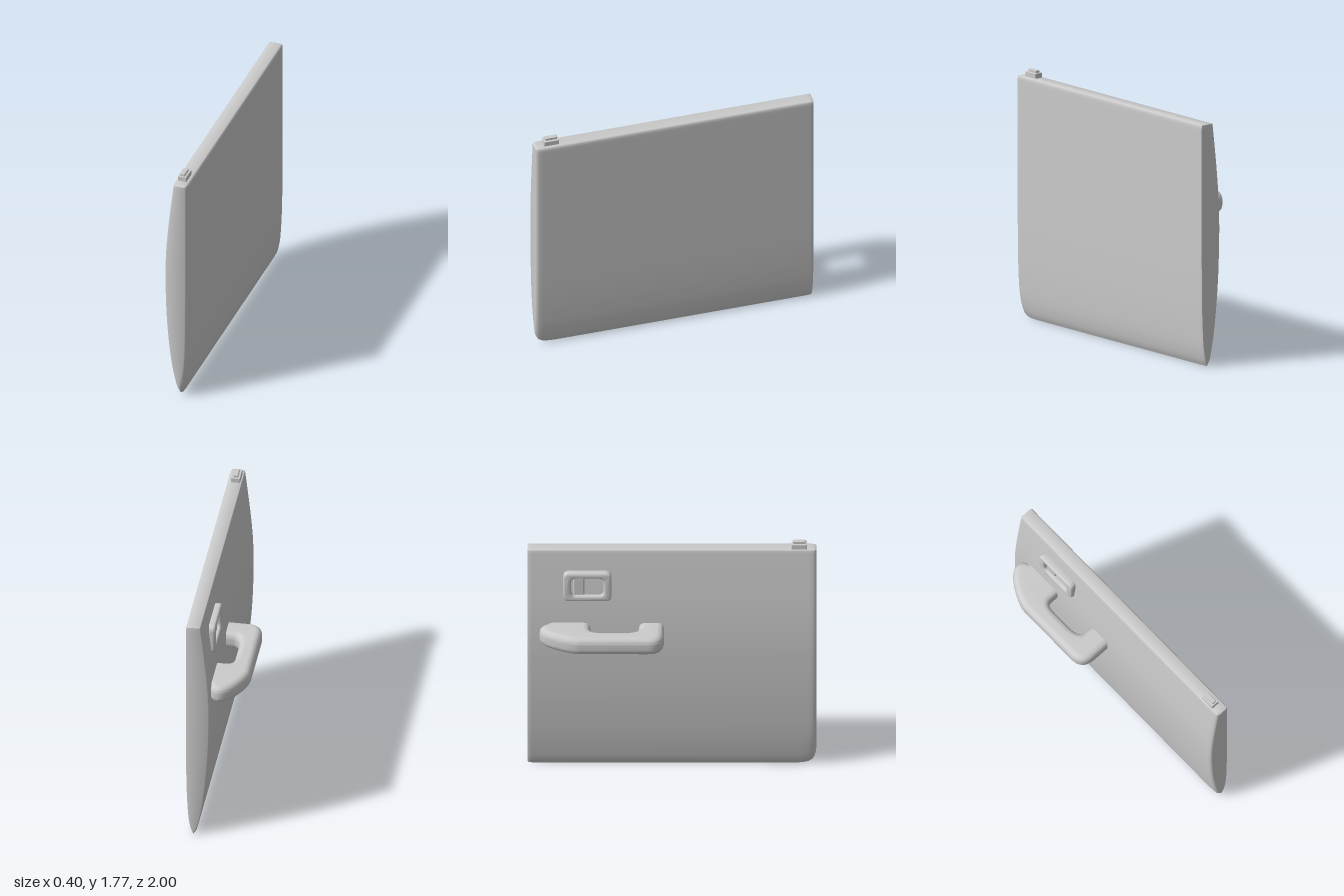
import * as THREE from 'three';
import { toCreasedNormals } from 'three/addons/utils/BufferGeometryUtils.js';
import { RoundedBoxGeometry } from 'three/addons/geometries/RoundedBoxGeometry.js';

const material = new THREE.MeshStandardMaterial({ color: 0xcccccc, side: THREE.DoubleSide });

function mesh(name, geometry, x = 0, y = 0, z = 0) {
  const m = new THREE.Mesh(geometry, material);
  m.name = name;
  m.position.set(x, y, z);
  return m;
}

// Curved door slab: one blade-like section swept along z
function doorGeometry() {
  // inner x, height, outer x
  const curve = new THREE.CatmullRomCurve3([
    [0.145, 0.008, 0.15], [0.125, 0.045, 0.165], [0.105, 0.13, 0.181], [0.085, 0.25, 0.19],
    [0.067, 0.4, 0.196], [0.05, 0.6, 0.199], [0.041, 0.8, 0.2], [0.038, 1.0, 0.2],
    [0.045, 1.2, 0.2], [0.062, 1.4, 0.2], [0.084, 1.6, 0.2], [0.096, 1.7, 0.2],
  ].map((p) => new THREE.Vector3(...p)));
  const levels = curve.getPoints(44);
  levels.push(new THREE.Vector3(0.098, 1.717, 0.199), new THREE.Vector3(0.101, 1.725, 0.195),
    new THREE.Vector3(0.107, 1.728, 0.189));
  const n = levels.length, ring = 2 * n;

  // z, edge inset, lift of the lower corner
  const stations = [
    [-1, 0.006, 0.02], [-0.998, 0.002, 0.01], [-0.992, 0, 0.003], [-0.97, 0, 0], [0.86, 0, 0],
    [0.91, 0, 0.004], [0.945, 0, 0.013], [0.97, 0, 0.03], [0.985, 0.002, 0.055],
    [0.995, 0.007, 0.09], [1, 0.015, 0.14],
  ];
  const pos = [], index = [];
  for (const [z, inset, lift] of stations) {
    const rim = levels.map((p) => {
      const d = Math.min(inset, (p.z - p.x) * 0.4);
      const y = p.y + lift * Math.max(0, 1 - p.y / 0.55) ** 2;
      return [p.x + d, Math.min(y, 1.728 - inset * 0.5), p.z - d];
    });
    for (const [l, y] of rim) pos.push(l, y, z);
    for (const [, y, r] of rim.reverse()) pos.push(r, y, z);
  }
  for (let k = 0; k < stations.length - 1; k++) {
    for (let i = 0; i < ring; i++) {
      const j = (i + 1) % ring;
      const a = k * ring + i, b = k * ring + j, c = a + ring, d = b + ring;
      index.push(a, c, b, b, c, d);
    }
  }
  // end caps
  const last = (stations.length - 1) * ring;
  for (let i = 0; i < n - 1; i++) {
    const l = i, l2 = i + 1, r = ring - 1 - i, r2 = ring - 2 - i;
    index.push(l, r2, r, l, l2, r2);
    index.push(last + l, last + r, last + r2, last + l, last + r2, last + l2);
  }
  const g = new THREE.BufferGeometry();
  g.setAttribute('position', new THREE.Float32BufferAttribute(pos, 3));
  g.setIndex(index);
  return toCreasedNormals(g, 0.7);
}

// Pull handle: plan outline in x and z, extruded upwards with a soft bevel
function handleGeometry() {
  const s = new THREE.Shape();
  s.moveTo(0.12, 0.85);
  s.lineTo(0.05, 0.87);
  s.bezierCurveTo(0.02, 0.93, -0.04, 0.93, -0.09, 0.875);
  s.bezierCurveTo(-0.14, 0.82, -0.2, 0.7, -0.2, 0.64);
  s.lineTo(-0.2, 0.17);
  s.bezierCurveTo(-0.2, 0.09, -0.16, 0.055, -0.08, 0.055);
  s.lineTo(0.12, 0.055);
  s.lineTo(0.12, 0.23);
  s.lineTo(-0.01, 0.23);
  s.bezierCurveTo(-0.045, 0.23, -0.065, 0.27, -0.065, 0.33);
  s.lineTo(-0.065, 0.48);
  s.bezierCurveTo(-0.065, 0.54, -0.05, 0.565, -0.01, 0.565);
  s.lineTo(0.12, 0.565);
  const bevel = 0.045;
  const g = new THREE.ExtrudeGeometry(s, {
    depth: 0.13 - 2 * bevel, bevelThickness: bevel, bevelSize: bevel, bevelOffset: -bevel,
    bevelSegments: 7, curveSegments: 14,
  });
  g.rotateX(-Math.PI / 2);
  return toCreasedNormals(g, 0.8);
}

function roundedRect(path, w, h, r) {
  const x = w / 2, y = h / 2;
  path.moveTo(-x + r, -y);
  path.lineTo(x - r, -y);
  path.quadraticCurveTo(x, -y, x, -y + r);
  path.lineTo(x, y - r);
  path.quadraticCurveTo(x, y, x - r, y);
  path.lineTo(-x + r, y);
  path.quadraticCurveTo(-x, y, -x, y - r);
  path.lineTo(-x, -y + r);
  path.quadraticCurveTo(-x, -y, -x + r, -y);
  return path;
}

// Rounded bezel around the latch opening, facing -x
function bezelGeometry() {
  const s = roundedRect(new THREE.Shape(), 0.335, 0.225, 0.045);
  s.holes.push(roundedRect(new THREE.Path(), 0.225, 0.135, 0.035));
  const g = new THREE.ExtrudeGeometry(s, {
    depth: 0.03, bevelThickness: 0.016, bevelSize: 0.016, bevelOffset: -0.016,
    bevelSegments: 5, curveSegments: 8,
  });
  g.rotateY(-Math.PI / 2);
  return toCreasedNormals(g, 0.8);
}

export function createModel() {
  const door = new THREE.Group();
  door.name = 'door';
  door.add(mesh('doorPanel', doorGeometry()));
  door.add(mesh('pullHandle', handleGeometry(), 0, 1.095, 0));

  // Inside latch
  const latch = new THREE.Group();
  latch.name = 'latch';
  latch.add(mesh('latchBezel', bezelGeometry(), 0.08, 1.463, -0.585));
  latch.add(mesh('latchLever', new RoundedBoxGeometry(0.04, 0.14, 0.08, 4, 0.012), 0.073, 1.463, -0.645));
  door.add(latch);

  // Lock button on the top edge
  const lock = new THREE.Group();
  lock.name = 'lockButton';
  lock.add(mesh('lockBase', new RoundedBoxGeometry(0.064, 0.045, 0.108, 2, 0.004), 0.143, 1.741, 0.88));
  lock.add(mesh('lockPin', new RoundedBoxGeometry(0.033, 0.035, 0.084, 2, 0.004), 0.143, 1.763, 0.88));
  door.add(lock);
  return door;
}
